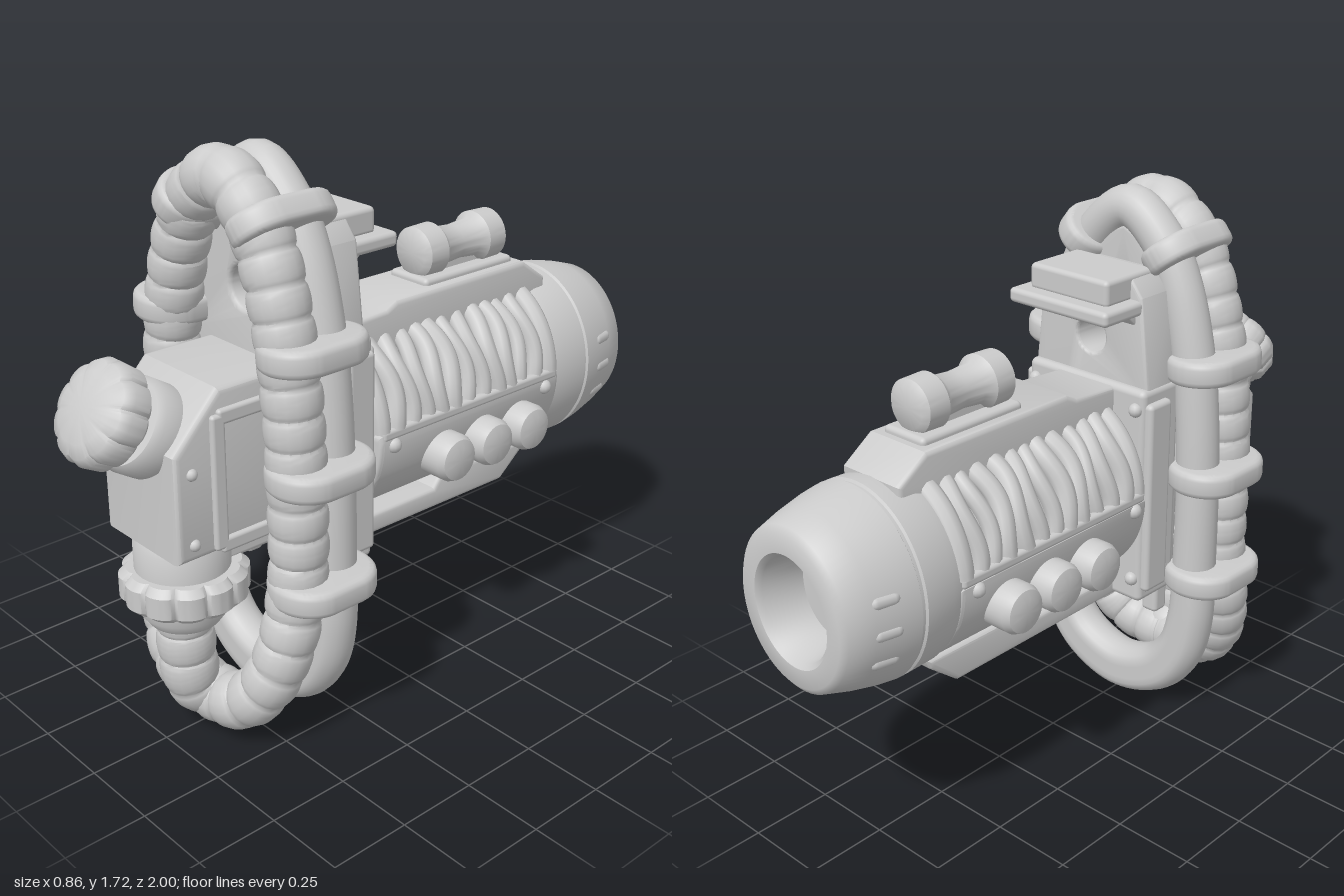
import * as THREE from 'three';
import { toCreasedNormals } from 'three/addons/utils/BufferGeometryUtils.js';
import { RoundedBoxGeometry } from 'three/addons/geometries/RoundedBoxGeometry.js';

const V = (x, y, z) => new THREE.Vector3(x, y, z);
const grey = new THREE.MeshStandardMaterial({ color: 0xcccccc });

export function createModel() {
  const root = new THREE.Group();
  const add = (name, geo, x = 0, y = 0, z = 0) => {
    const m = new THREE.Mesh(geo, grey);
    m.name = name;
    m.position.set(x, y, z);
    root.add(m);
    return m;
  };
  const box = (name, w, h, d, x, y, z, r = 0.015) =>
    add(name, new RoundedBoxGeometry(w, h, d, 3, r), x, y, z);
  const lathe = (pts, seg = 48) =>
    toCreasedNormals(new THREE.LatheGeometry(pts.map(p => new THREE.Vector2(...p)), seg), 0.7);
  const outline = pts => new THREE.Shape(pts.map(p => new THREE.Vector2(...p)));

  // Extrusion with a small bevel, centred on its depth, outer size kept
  const extrude = (shape, depth, b) => {
    const g = new THREE.ExtrudeGeometry(shape, {
      depth: depth - 2 * b, bevelThickness: b, bevelSize: b, bevelOffset: -b, bevelSegments: 3, curveSegments: 24
    });
    g.translate(0, 0, -(depth - 2 * b) / 2);
    return toCreasedNormals(g, 0.6);
  };
  // Side profile of [z, y] points, extruded across x
  const sideProfile = (pts, width, b = 0.015) => extrude(outline(pts), width, b).rotateY(-Math.PI / 2);

  // Tube whose radius varies along its path; flat limits its thickness in z
  const sweep = (curve, n, radial, radius, flat = 1) => {
    const g = new THREE.TubeGeometry(curve, n, 1, radial, curve.closed);
    const p = g.attributes.position, v = V();
    for (let i = 0; i <= n; i++) {
      const c = curve.getPointAt(i / n), r = radius(i / n);
      for (let j = 0; j <= radial; j++) {
        const k = i * (radial + 1) + j;
        v.fromBufferAttribute(p, k).sub(c).multiplyScalar(r);
        v.z = THREE.MathUtils.clamp(v.z, -flat, flat);
        v.add(c);
        p.setXYZ(k, v.x, v.y, v.z);
      }
    }
    return toCreasedNormals(g, 1.1);
  };
  const beads = (R, n) => t => R * (0.89 + 0.11 * Math.sqrt(Math.abs(Math.sin(Math.PI * n * t))));

  // Lathe with scalloped edge
  const lobed = (pts, n, amp) => {
    const g = new THREE.LatheGeometry(pts.map(p => new THREE.Vector2(...p)), n * 10);
    const p = g.attributes.position;
    for (let i = 0; i < p.count; i++) {
      const s = 1 - amp + amp * Math.sqrt(Math.abs(Math.cos(Math.atan2(p.getZ(i), p.getX(i)) * n / 2)));
      p.setX(i, p.getX(i) * s);
      p.setZ(i, p.getZ(i) * s);
    }
    return toCreasedNormals(g, 0.7);
  };

  // Closed loops: smooth pipe behind, ribbed hose in front
  const half = [[0.118, 1.575], [0.19, 1.45], [0.247, 1.25], [0.273, 1.05], [0.285, 0.8], [0.285, 0.55],
    [0.28, 0.37], [0.245, 0.24], [0.16, 0.138]];
  const loop = (top, bottom, zAt) => {
    const pts = [[0, top], ...half, [0, bottom], ...half.slice().reverse().map(([x, y]) => [-x, y])];
    return new THREE.CatmullRomCurve3(pts.map(([x, y]) => V(x, y, zAt(y))), true);
  };
  add('smoothPipe', sweep(loop(1.655, 0.085, () => 0.345), 160, 24,
    t => 0.066 + 0.016 * Math.exp(-(((t - 0.5) / 0.13) ** 2)), 0.066));
  add('ribbedHose', sweep(loop(1.645, 0.108, y => 0.47 + 0.12 * Math.pow(Math.max(0, (0.6 - y) / 0.5), 1.4)),
    420, 18, beads(0.086, 42)));
  add('feedHose', sweep(new THREE.CatmullRomCurve3(
    [V(0, 0.11, 0.58), V(0, 0.16, 0.64), V(0, 0.28, 0.66), V(0, 0.44, 0.665)]), 60, 20, beads(0.087, 4)));

  // Clamps holding pipe and hose together
  const clampShape = new THREE.Shape();
  clampShape.moveTo(-0.115, -0.06);
  clampShape.absarc(0, -0.05, 0.115, Math.PI, 2 * Math.PI);
  clampShape.absarc(0, 0.05, 0.115, 0, Math.PI);
  const clampGeo = extrude(clampShape, 0.078, 0.02).rotateX(Math.PI / 2);
  for (const s of [-1, 1])
    for (const [x, y, tilt, k] of [[0.308, 0.53, 0, 1.07], [0.305, 0.875, 0, 1.03], [0.28, 1.22, 0.05, 0.99], [0.163, 1.545, 0.68, 0.84]]) {
      const c = add('clamp', clampGeo, s * x, y, 0.405);
      c.rotation.z = s * tilt;
      c.scale.set(k, 1, 0.98);
    }

  // Mounting plate and the arch filling the loop, with a sloping through hole
  const pierce = (shape, y, r) => {
    const hole = new THREE.Path();
    hole.absarc(0, y, r, 0, 2 * Math.PI, true);
    shape.holes.push(hole);
    return shape;
  };
  const plate = outline([[-0.22, 0.5], [0.22, 0.5], [0.225, 1.15], [0.19, 1.45], [0.15, 1.5], [-0.15, 1.5],
    [-0.19, 1.45], [-0.225, 1.15]]);
  add('mountingPlate', extrude(pierce(plate, 1.3, 0.055), 0.16, 0.01), 0, 0, 0.245);
  const arch = outline([[-0.25, 0.9], [0.25, 0.9], [0.25, 1.15], [0.19, 1.42], [0.11, 1.56], [0, 1.61],
    [-0.11, 1.56], [-0.19, 1.42], [-0.25, 1.15]]);
  add('archPlate', extrude(pierce(arch, 1.32, 0.062), 0.11, 0.015), 0, 0, 0.36);
  box('lowerPlate', 0.46, 0.7, 0.17, 0, 0.83, 0.225, 0.02);
  for (const s of [-1, 1]) {
    for (const y of [0.56, 0.83, 1.12])
      add('plateRivet', new THREE.SphereGeometry(0.022, 12, 8), s * 0.2, y, 0.14);
    box('plateFlange', 0.035, 0.62, 0.1, s * 0.235, 0.83, 0.2);
    box('plateNub', 0.06, 0.12, 0.06, s * 0.18, 0.45, 0.28);
  }
  // Shelf with a curved flare below
  add('shelfFlare', sideProfile([[0.22, 1.37], [0.16, 1.37], [0.145, 1.385], [0.115, 1.42], [0.22, 1.42]], 0.34, 0.005));
  box('shelf', 0.38, 0.045, 0.26, 0, 1.42, 0.14);
  box('shelfStep', 0.3, 0.08, 0.21, 0, 1.475, 0.165);

  // Valve housing with side frames
  add('valveHousing', sideProfile([[0.3, 0.66], [0.79, 0.66], [0.79, 0.98], [0.64, 1.14], [0.3, 1.14]], 0.345, 0.02));
  for (const s of [-1, 1]) {
    box('housingFrame', 0.03, 0.4, 0.045, s * 0.172, 0.87, 0.65, 0.01);
    for (const y of [0.68, 1.06]) box('housingFrame', 0.03, 0.045, 0.32, s * 0.172, y, 0.49, 0.01);
    for (const y of [0.71, 0.92])
      add('housingRivet', new THREE.SphereGeometry(0.018, 12, 8), s * 0.17, y, 0.735);
  }

  // Tilted knob on the sloping face
  const knob = new THREE.Group();
  knob.name = 'knob';
  const knobPart = (name, geo) => {
    const m = new THREE.Mesh(geo, grey);
    m.name = name;
    knob.add(m);
  };
  knobPart('knobStem', new THREE.CylinderGeometry(0.085, 0.1, 0.26, 32).translate(0, -0.13, 0));
  knobPart('knobCollar', lathe([[0, -0.182], [0.12, -0.182], [0.135, -0.168], [0.135, -0.1], [0.12, -0.08], [0, -0.08]]));
  knobPart('knobCap', lobed([[0, -0.06], [0.12, -0.06], [0.146, -0.035], [0.15, 0.02], [0.135, 0.048],
    [0.1, 0.064], [0.05, 0.073], [0, 0.076]], 10, 0.07));
  knob.position.set(0, 1.083, 0.885);
  knob.rotation.x = Math.PI / 2 - 0.56;
  root.add(knob);

  // Hose coupling beneath the housing
  add('couplingCollar', lathe([[0, 0.53], [0.138, 0.53], [0.138, 0.64], [0.12, 0.67], [0, 0.67]]), 0, 0, 0.66);
  add('couplingNut', lobed([[0, 0.455], [0.165, 0.455], [0.187, 0.475], [0.187, 0.54], [0.165, 0.56], [0, 0.56]], 12, 0.08), 0, 0, 0.655);
  add('couplingTaper', lathe([[0, 0.385], [0.105, 0.385], [0.13, 0.42], [0.13, 0.47], [0, 0.47]]), 0, 0, 0.66);
  box('couplingBracket', 0.14, 0.1, 0.36, 0, 0.6, 0.45);

  // Barrel core and hollow muzzle
  const barrel = add('barrel', lathe([[0, -0.88], [0.1, -0.88], [0.115, -0.86], [0.135, -0.86], [0.15, -0.985],
    [0.165, -1], [0.22, -1], [0.24, -0.985], [0.264, -0.91], [0.283, -0.83], [0.291, -0.775], [0.284, -0.77], [0.284, -0.76],
    [0.291, -0.755], [0.288, -0.66], [0.275, -0.61], [0.25, -0.6], [0.25, 0.16], [0, 0.16]], 64).rotateX(Math.PI / 2), 0, 0.842, 0);
  barrel.scale.x = 0.9;
  const under = new THREE.Shape();
  under.moveTo(-0.255, 0.87);
  under.absellipse(0, 0.85, 0.258, 0.29, Math.PI, 2 * Math.PI, false);
  under.lineTo(0.255, 0.87);
  add('lowerShell', extrude(under, 0.77, 0.015), 0, 0, -0.25);

  // Top rail, lower skid and grip
  add('topRail', sideProfile([[0.15, 1], [0.15, 1.17], [-0.02, 1.18], [-0.06, 1.2], [-0.61, 1.2], [-0.71, 1.13], [-0.71, 1]], 0.23));
  box('railPad', 0.16, 0.05, 0.38, 0, 1.195, -0.4);
  add('skid', sideProfile([[0.2, 0.475], [0.2, 0.54], [-0.22, 0.54], [-0.25, 0.58], [-0.64, 0.58], [-0.63, 0.55], [-0.53, 0.47]], 0.25));
  for (const s of [-1, 1]) box('skidFoot', 0.05, 0.1, 0.1, s * 0.1, 0.56, 0.1);
  add('dumbbellGrip', lathe([[0, -0.175], [0.06, -0.175], [0.078, -0.16], [0.08, -0.09], [0.06, -0.065], [0.055, 0],
    [0.06, 0.065], [0.08, 0.09], [0.078, 0.16], [0.06, 0.175], [0, 0.175]]).rotateX(Math.PI / 2), 0, 1.283, -0.397);
  box('gripFoot', 0.07, 0.1, 0.3, 0, 1.235, -0.397);

  // Wavy cooling ribs, buttons, slots and rivets on both sides
  const slot = new THREE.CapsuleGeometry(0.022, 0.05, 4, 10).rotateX(Math.PI / 2);
  const button = lathe([[0, 0], [0.074, 0], [0.074, 0.085], [0.064, 0.106], [0.04, 0.114], [0, 0.115]], 32);
  for (const s of [-1, 1]) {
    for (let i = 0; i < 13; i++) {
      const pts = [];
      for (let j = 0; j <= 10; j++) {
        const a = 0.08 + j * 0.105;
        const wave = i % 12 ? 0.009 * Math.sin(j * 0.6 + i * 1.3 + s) : 0;
        pts.push(V(s * 0.232 * Math.cos(a), 0.85 + 0.266 * Math.sin(a), 0.11 - i * 0.0595 + wave));
      }
      add('coolingRib', new THREE.TubeGeometry(new THREE.CatmullRomCurve3(pts), 28, 0.029 + 0.004 * Math.sin(i * 1.7), 10));
    }
    for (let i = 0; i < 3; i++) {
      add('sideButton', button, s * 0.215, 0.74, -0.125 - i * 0.165).rotation.z = -s * Math.PI / 2;
      const y = 0.73 + i * 0.09, dy = (y - 0.842) / 0.262;
      const v = add('muzzleSlot', slot, s * 0.23 * Math.sqrt(1 - dy * dy), y, -0.87);
      v.rotation.y = s * 0.2;
    }
    for (const z of [0.08, -0.57]) add('shellRivet', new THREE.SphereGeometry(0.024, 12, 8), s * 0.252, 0.83, z);
    box('ribSill', 0.03, 0.035, 0.75, s * 0.245, 0.865, -0.25, 0.012);
  }
  return root;
}
